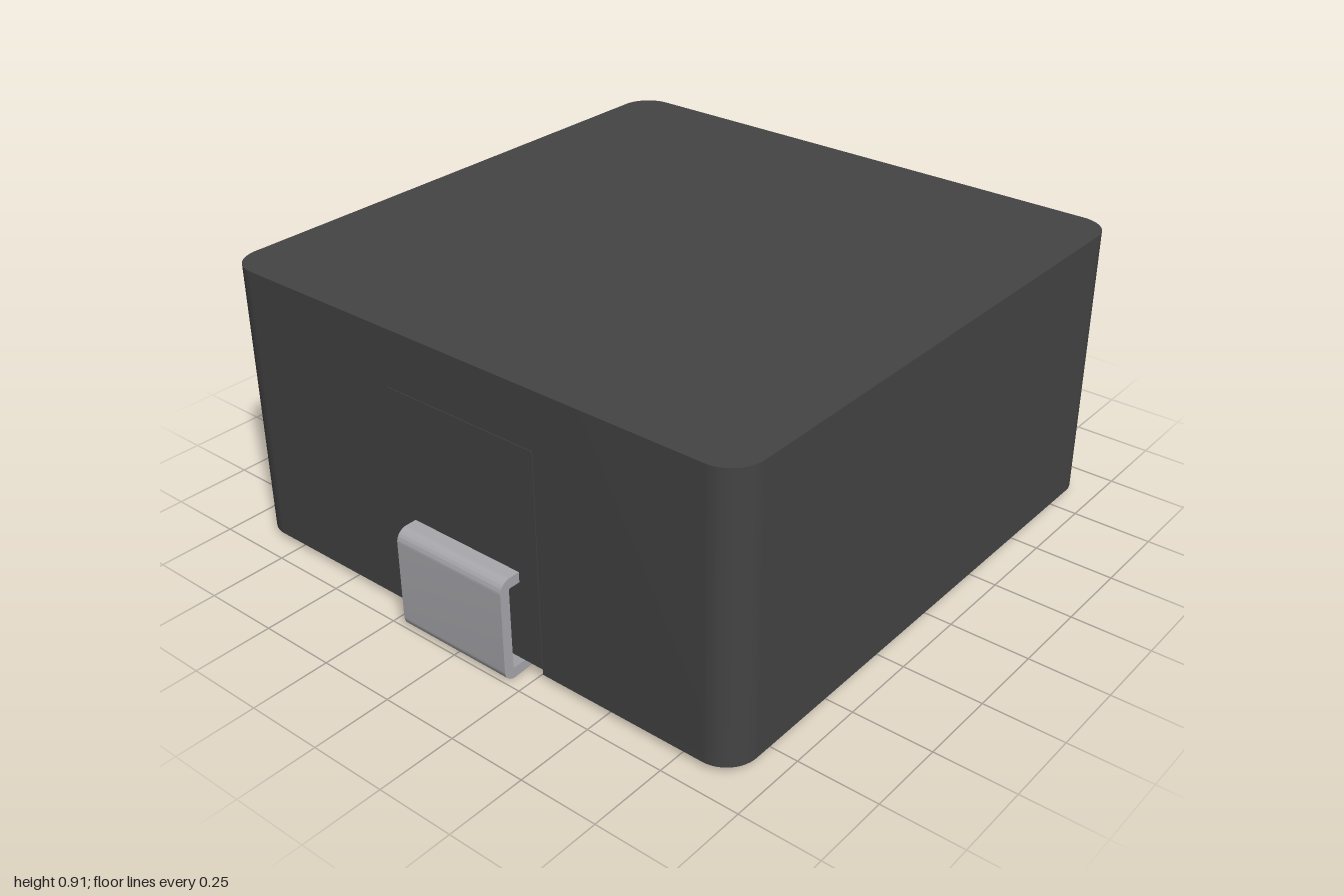
import * as THREE from 'three';
import { toCreasedNormals } from 'three/addons/utils/BufferGeometryUtils.js';

const HALF = 0.925, CORNER = 0.1;          // body half width and corner radius
const BOTTOM = 0.02, SLOT_TOP = 0.04, TOP = 0.91;
const SLOT_X = 0.35, SLOT_Z = 0.27;        // terminal slots under the body

const bodyMaterial = new THREE.MeshStandardMaterial({ color: 0x444444 });
bodyMaterial.name = 'dark grey casing';
const metalMaterial = new THREE.MeshStandardMaterial({ color: 0xa8a8ad });
metalMaterial.name = 'tinned metal';

function extrude(shape, depth) {
  const geometry = new THREE.ExtrudeGeometry(shape, { depth, bevelEnabled: false, curveSegments: 10 });
  return toCreasedNormals(geometry, 0.6);
}

function addMesh(parent, name, geometry, material) {
  const mesh = new THREE.Mesh(geometry, material);
  mesh.name = name;
  parent.add(mesh);
  return mesh;
}

// Square plan with rounded corners, optionally notched on both sides
function plan(notched) {
  const shape = new THREE.Shape();
  const c = HALF - CORNER;
  shape.absarc(c, -c, CORNER, -Math.PI / 2, 0);
  if (notched) {
    shape.lineTo(HALF, -SLOT_Z).lineTo(SLOT_X, -SLOT_Z).lineTo(SLOT_X, SLOT_Z).lineTo(HALF, SLOT_Z);
  }
  shape.absarc(c, c, CORNER, 0, Math.PI / 2);
  shape.absarc(-c, c, CORNER, Math.PI / 2, Math.PI);
  if (notched) {
    shape.lineTo(-HALF, SLOT_Z).lineTo(-SLOT_X, SLOT_Z).lineTo(-SLOT_X, -SLOT_Z).lineTo(-HALF, -SLOT_Z);
  }
  shape.absarc(-c, -c, CORNER, Math.PI, Math.PI * 1.5);
  shape.closePath();
  return shape;
}

function slab(shape, y0, y1) {
  return extrude(shape, y1 - y0).rotateX(-Math.PI / 2).translate(0, y0, 0);
}

// Bent strip: foot under the body, upright outside it, top entering the body
function terminalGeometry() {
  const t = 0.033, r = 0.038, ri = 0.006, h = 0.33, inner = 1 - t;
  const s = new THREE.Shape();
  s.moveTo(0.365, 0);
  s.absarc(1 - r, r, r, -Math.PI / 2, 0);
  s.absarc(1 - r, h - r, r, 0, Math.PI / 2);
  s.lineTo(0.88, h);
  s.lineTo(0.88, h - t);
  s.absarc(inner - ri, h - t - ri, ri, Math.PI / 2, 0, true);
  s.absarc(inner - ri, t + ri, ri, 0, -Math.PI / 2, true);
  s.lineTo(0.365, t);
  s.closePath();
  return extrude(s, 0.4).translate(0, 0, -0.2);
}

export function createModel() {
  const model = new THREE.Group();
  model.name = 'powerInductor';

  // Moulded casing
  const casing = new THREE.Group();
  casing.name = 'casing';
  model.add(casing);
  addMesh(casing, 'casingBlock', slab(plan(false), SLOT_TOP, TOP), bodyMaterial);
  addMesh(casing, 'slottedBase', slab(plan(true), BOTTOM, SLOT_TOP), bodyMaterial);

  // Side panels and terminals, one pair per side
  const terminal = terminalGeometry();
  const panel = new THREE.BoxGeometry(0.004, 0.69, SLOT_Z * 2).translate(HALF, 0.385, 0);
  for (const [side, angle] of [['left', 0], ['right', Math.PI]]) {
    addMesh(model, side + 'Panel', panel, bodyMaterial).rotation.y = angle;
    addMesh(model, side + 'Terminal', terminal, metalMaterial).rotation.y = angle;
  }
  return model;
}
